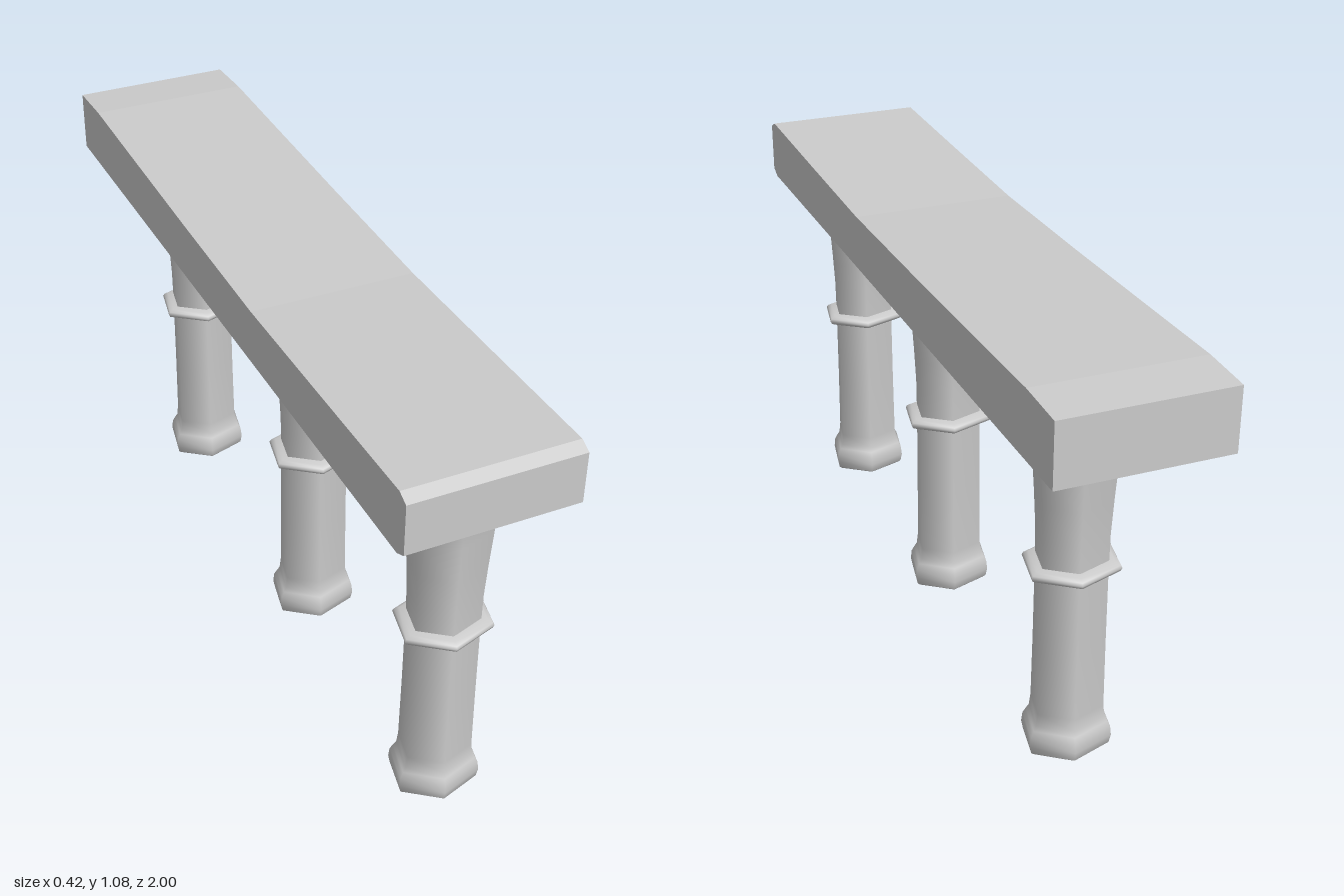
import * as THREE from 'three';

const material = new THREE.MeshStandardMaterial({ color: 0xcccccc });
const SIDES = 6;
const TURN = THREE.MathUtils.degToRad(50); // puts one corner of the hexagon front right

// Six-sided turned shape with smooth normals; profile is [radius, height] pairs, bottom to top
function turned(name, profile) {
  const points = profile.map(([r, y]) => new THREE.Vector2(r, y));
  const mesh = new THREE.Mesh(new THREE.LatheGeometry(points, SIDES, TURN), material);
  mesh.name = name;
  return mesh;
}

function createColumn(z) {
  const column = new THREE.Group();
  column.name = 'column';

  // Shaft with swollen foot and flared top
  column.add(turned('shaft', [
    [0.103, 0.005], [0.112, 0.012], [0.117, 0.035], [0.114, 0.06], [0.106, 0.075], [0.098, 0.088],
    [0.094, 0.12], [0.092, 0.3], [0.091, 0.5], [0.092, 0.6], [0.097, 0.69], [0.104, 0.79],
    [0.109, 0.855], [0.118, 0.872], [0.123, 0.89], [0.125, 0.92],
  ]));

  // Shallow hollow under the foot
  column.add(turned('footHollow', [[0, 0.03], [0.06, 0.022], [0.103, 0.005]]));

  // Thin band around the middle
  column.add(turned('band', [
    [0.088, 0.498], [0.108, 0.5], [0.12, 0.506], [0.124, 0.514],
    [0.12, 0.521], [0.108, 0.527], [0.088, 0.53],
  ]));

  column.scale.z = 0.87;
  column.position.set(0.009, 0, z);
  return column;
}

function createSlab() {
  // Side profile [z, y]: sagging top and bevelled front edges
  const profile = [
    [1, 0.93], [1, 1.06], [0.97, 1.075], [0.6, 1.065], [0.22, 1.056],
    [-0.2, 1.063], [-0.6, 1.073], [-0.86, 1.08], [-1, 1.074], [-1, 0.915], [0.97, 0.915],
  ];
  const shape = new THREE.Shape(profile.map(([z, y]) => new THREE.Vector2(-z, y)));
  const geometry = new THREE.ExtrudeGeometry(shape, { depth: 0.42, bevelEnabled: false });
  geometry.rotateY(Math.PI / 2);
  geometry.translate(-0.21, 0, 0);
  const slab = new THREE.Mesh(geometry, material);
  slab.name = 'slab';
  return slab;
}

export function createModel() {
  const model = new THREE.Group();
  model.name = 'slabOnColumns';
  model.add(createSlab());
  for (const z of [0.805, 0.1, -0.685]) model.add(createColumn(z));
  return model;
}
